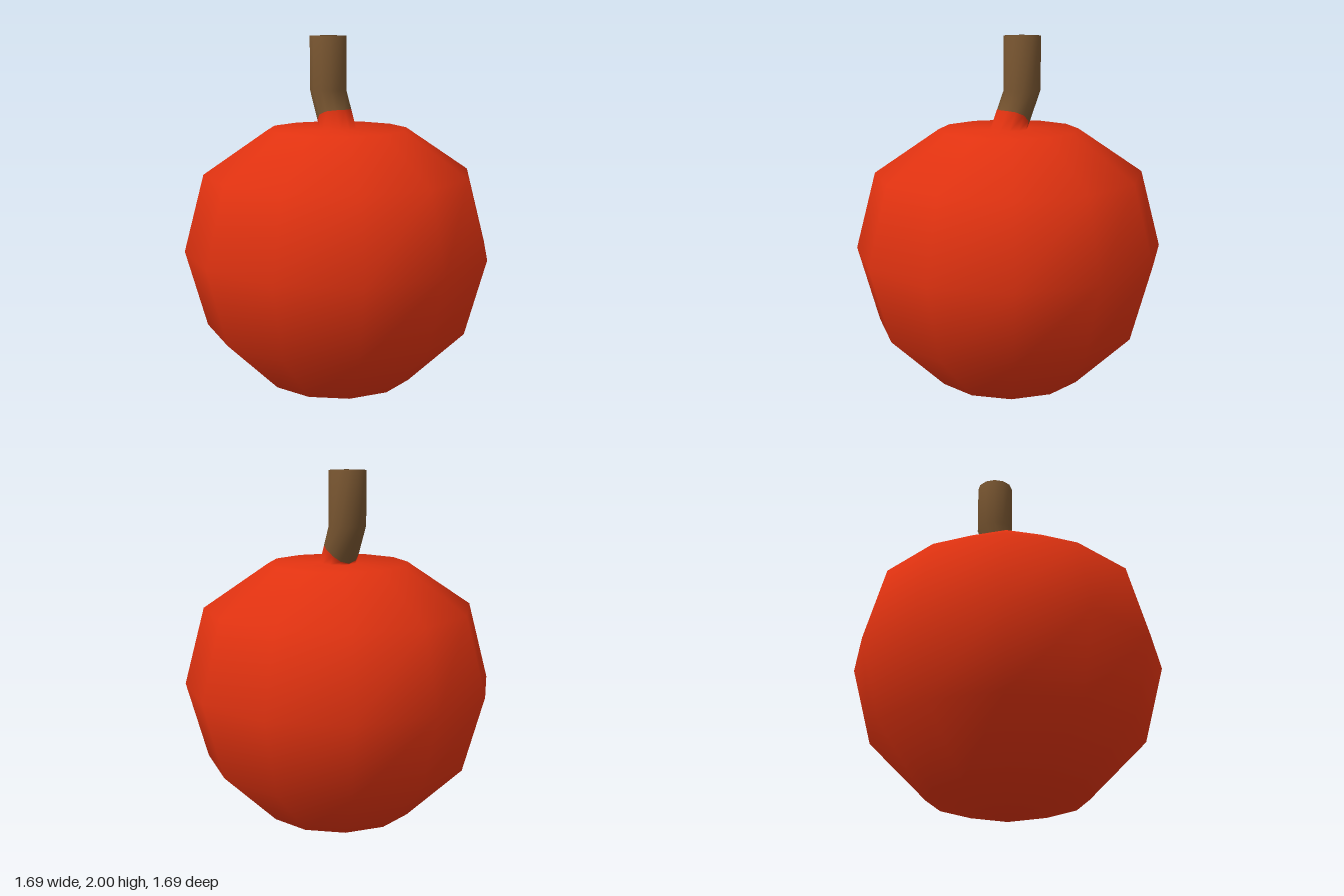
import * as THREE from 'three';
import { mergeVertices } from 'three/addons/utils/BufferGeometryUtils.js';

const SIDES = 12;
const R = 0.845;      // fruit radius
const TOP = 1.505;    // flat top of the fruit
const BEND = 1.71;    // where the stem turns upright
const LEAN = -0.085;  // sideways shift of the stem at the bend

export function createModel() {
  const red = new THREE.MeshStandardMaterial({ color: 0xe03210 });
  red.name = 'fruit red';
  const brown = new THREE.MeshStandardMaterial({ color: 0x75532f });
  brown.name = 'stem brown';

  // Rings from bottom to top: radius, and height as a function of the angle's cosine
  const rings = [];
  const ring = (r, y, leaning = false) =>
    rings.push({ r, y: typeof y === 'function' ? y : () => y, leaning });
  for (let i = 0; i <= 4; i++) {
    const t = (i * Math.PI) / 6;
    ring(R * Math.sin(t), R - R * Math.cos(t));
  }
  ring(0.38, TOP);
  ring(0.1, TOP);
  // slanted edge between the red collar and the brown stem
  const collar = rings.length;
  ring(0.1, (c) => 1.585 + 0.05 * c - 0.025 * c * c, true);
  ring(0.1, BEND, true);
  ring(0.1, 2, true);
  ring(0, 2, true);

  const positions = [];
  for (const { r, y, leaning } of rings) {
    for (let j = 0; j < SIDES; j++) {
      const a = (j / SIDES) * Math.PI * 2;
      const h = y(Math.cos(a));
      const shift = leaning ? LEAN * Math.min(1, (h - TOP) / (BEND - TOP)) : 0;
      positions.push(r * Math.cos(a) + shift, h, r * Math.sin(a));
    }
  }

  const index = [];
  for (let i = 0; i < rings.length - 1; i++) {
    for (let j = 0; j < SIDES; j++) {
      const k = (j + 1) % SIDES;
      const a = i * SIDES + j, b = i * SIDES + k;
      index.push(a, a + SIDES, b, b, a + SIDES, b + SIDES);
    }
  }

  // One continuous smooth skin, so the stem blends into the fruit
  let skin = new THREE.BufferGeometry();
  skin.setAttribute('position', new THREE.Float32BufferAttribute(positions, 3));
  skin.setIndex(index);
  skin = mergeVertices(skin, 1e-5);
  skin.computeVertexNormals();

  // Split the skin into fruit and stem at the collar ring
  const group = new THREE.Group();
  group.name = 'fruitWithStem';
  const order = Array.from(skin.index.array);
  const cut = collar * SIDES * 6;
  const addPart = (name, part, material) => {
    const geometry = new THREE.BufferGeometry();
    geometry.setAttribute('position', skin.getAttribute('position').clone());
    geometry.setAttribute('normal', skin.getAttribute('normal').clone());
    geometry.setIndex(part);
    const mesh = new THREE.Mesh(geometry, material);
    mesh.name = name;
    group.add(mesh);
  };
  addPart('fruit', order.slice(0, cut), red);
  addPart('stem', order.slice(cut), brown);
  return group;
}
